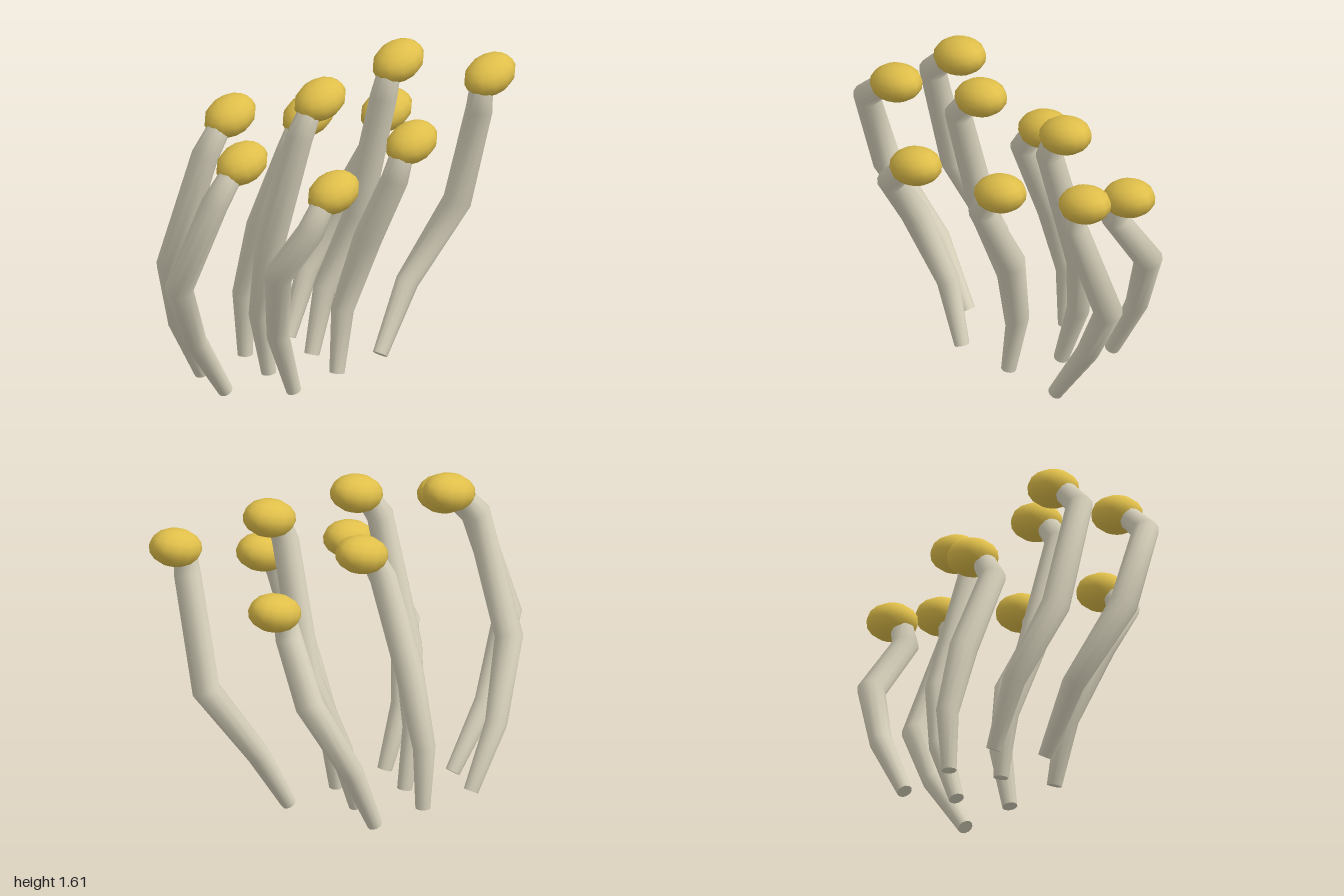
import * as THREE from 'three';

const stemMaterial = new THREE.MeshStandardMaterial({ name: 'pale stem', color: 0xd8d2bc });
const capMaterial = new THREE.MeshStandardMaterial({ name: 'golden cap', color: 0xe0bf4a });
const SIDES = 12;

// Tapered tube with mitred bends and a closed base, from [x, y, z, radius] stations.
function taperedTube(stations) {
  const pts = stations.map(([x, y, z]) => new THREE.Vector3(x, y, z));
  const dirs = pts.slice(1).map((p, i) => p.clone().sub(pts[i]).normalize());
  const positions = [], index = [];
  const addRing = (i) => {
    const before = dirs[Math.max(i - 1, 0)], after = dirs[Math.min(i, dirs.length - 1)];
    const t = before.clone().add(after).normalize();
    const u = new THREE.Vector3(1, 0, 0).addScaledVector(t, -t.x).normalize();
    const v = t.clone().cross(u);
    for (let j = 0; j < SIDES; j++) {
      const a = (j / SIDES) * Math.PI * 2, r = stations[i][3];
      const p = pts[i].clone().addScaledVector(u, r * Math.cos(a)).addScaledVector(v, r * Math.sin(a));
      positions.push(p.x, p.y, p.z);
    }
  };
  pts.forEach((_, i) => addRing(i));
  for (let i = 0; i < pts.length - 1; i++) {
    for (let j = 0; j < SIDES; j++) {
      const a = i * SIDES + j, b = i * SIDES + (j + 1) % SIDES;
      index.push(a, b, b + SIDES, a, b + SIDES, a + SIDES);
    }
  }
  // base disc on its own ring, so that its edge stays sharp
  const base = positions.length / 3;
  addRing(0);
  for (let j = 1; j < SIDES - 1; j++) index.push(base, base + j + 1, base + j);
  const geometry = new THREE.BufferGeometry();
  geometry.setAttribute('position', new THREE.Float32BufferAttribute(positions, 3));
  geometry.setIndex(index);
  geometry.computeVertexNormals();
  return geometry;
}

export function createModel() {
  const model = new THREE.Group();
  model.name = 'mushroomCluster';
  const capHeights = [1.32, 1.45, 1.12, 1.48, 1.285, 1.21, 1.51, 1.14, 1.39];
  const rowDepths = [0.11, -0.13, 0.36];
  const capGeometry = new THREE.SphereGeometry(1, 12, 8);

  capHeights.forEach((y, i) => {
    const z = rowDepths[i % 3];
    const capX = -0.68 + 0.192 * i;
    const baseX = -0.475 + 0.106 * i, kneeX = -0.93 + 0.22 * i;

    const mushroom = new THREE.Group();
    mushroom.name = 'mushroom' + (i + 1);

    // stem fans outward, leans forward, then hooks over into the cap
    const stem = new THREE.Mesh(taperedTube([
      [baseX, 0.02, z - 0.28, 0.037],
      [THREE.MathUtils.lerp(baseX, kneeX, 0.46), 0.33, z - 0.29, 0.056],
      [kneeX, 0.7, z - 0.185, 0.07],
      [-0.882 + 0.2075 * i, y - 0.155, z, 0.066],
      [capX - 0.06, y - 0.02, z, 0.055],
    ]), stemMaterial);
    stem.name = 'stem';

    // tilted oval cap
    const cap = new THREE.Mesh(capGeometry, capMaterial);
    cap.name = 'cap';
    cap.scale.set(0.146, 0.094, 0.113);
    cap.rotation.z = 0.25;
    cap.position.set(capX, y, z);

    mushroom.add(stem, cap);
    model.add(mushroom);
  });
  return model;
}
